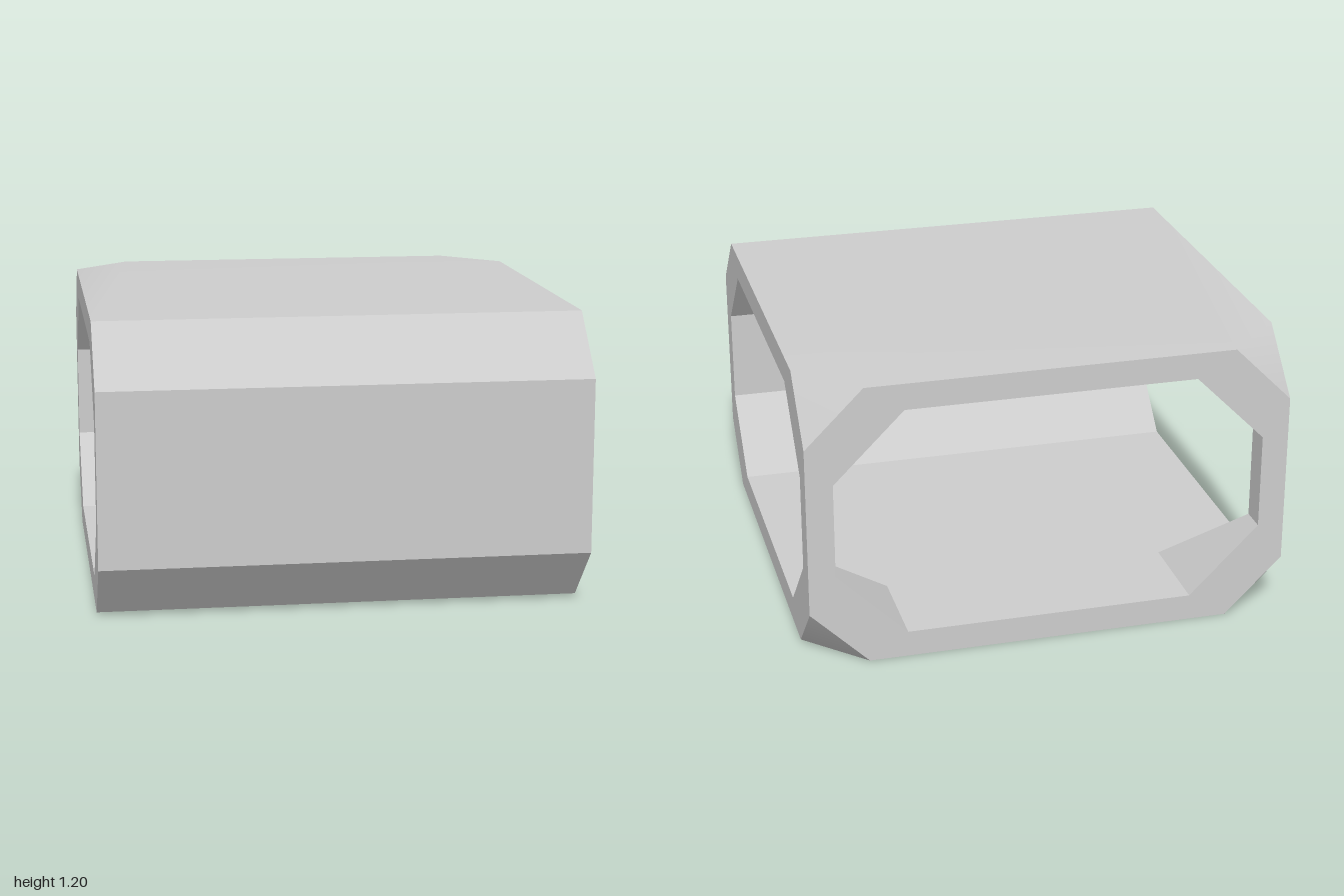
import * as THREE from 'three';
import { mergeVertices } from 'three/addons/utils/BufferGeometryUtils.js';

const H = 1.2; // height; top and bottom halves mirror about H / 2
const material = new THREE.MeshStandardMaterial({ color: 0xcccccc });

// Mirrors of a polygon, with the corner order reversed to keep it facing out
const flipY = (poly) => poly.map(([x, y, z]) => [x, H - y, z]).reverse();
const flipX = (poly) => poly.map(([x, y, z]) => [-x, y, z]).reverse();
const swapXZ = (poly) => poly.map(([x, y, z]) => [-z, y, -x]).reverse();

// Convex polygons to a geometry; smooth shares the corners between them
function polygons(polys, smooth = false) {
  const pos = [];
  for (const p of polys) {
    for (let i = 1; i < p.length - 1; i++) pos.push(...p[0], ...p[i], ...p[i + 1]);
  }
  let geo = new THREE.BufferGeometry();
  geo.setAttribute('position', new THREE.Float32BufferAttribute(pos, 3));
  if (smooth) geo = mergeVertices(geo);
  geo.computeVertexNormals();
  return geo;
}

// Octagon with half width w, half height h and corner cut c
function octagon(w, h, c) {
  return [[w, c - h], [w, h - c], [w - c, h], [c - w, h], [-w, h - c], [-w, c - h], [c - w, -h], [w - c, -h]]
    .map(([x, y]) => new THREE.Vector2(x, y));
}

export function createModel() {
  const group = new THREE.Group();
  const add = (name, geo) => {
    const mesh = new THREE.Mesh(geo, material);
    mesh.name = name;
    group.add(mesh);
  };

  // Roof and underside, blending softly into the cut back corners
  const cut = [[1, H, -0.76], [1, 0.96, -1], [0.76, H, -1]];
  const roof = [
    [[-1, H, 0.76], [1, H, 0.76], [1, H, -0.76], [0.76, H, -1], [-0.76, H, -1], [-1, H, -0.76]],
    cut, flipX(cut),
  ];
  add('roof', polygons(roof, true));
  add('underside', polygons(roof.map(flipY), true));

  // Closed front side, outside and inside
  const outerBevel = [[-1, 0.96, 1], [1, 0.96, 1], [1, H, 0.76], [-1, H, 0.76]];
  const innerBevel = [[1, 0.8, 0.89], [-1, 0.8, 0.89], [-1, 1.09, 0.6], [1, 1.09, 0.6]];
  add('frontWall', polygons([
    [[-1, 0.24, 1], [1, 0.24, 1], [1, 0.96, 1], [-1, 0.96, 1]],
    outerBevel, flipY(outerBevel),
  ]));
  add('frontWallInside', polygons([
    [[1, 0.4, 0.89], [-1, 0.4, 0.89], [-1, 0.8, 0.89], [1, 0.8, 0.89]],
    innerBevel, flipY(innerBevel),
  ]));

  // T-shaped ceiling and floor of the passages
  const ceiling = [
    [[-1, 1.09, 0.6], [-1, 1.09, -0.6], [1, 1.09, -0.6], [1, 1.09, 0.6]],
    [[-0.6, 1.09, -0.6], [-0.6, 1.09, -1], [0.6, 1.09, -1], [0.6, 1.09, -0.6]],
  ];
  add('ceiling', polygons(ceiling));
  add('floor', polygons(ceiling.map(flipY)));

  // Inner faces of the two back corner posts, mitred where passages meet
  const postBevel = [[1, 1.09, -0.6], [0.6, 1.09, -0.6], [0.89, 0.8, -0.89], [1, 0.8, -0.89]];
  const half = [
    postBevel, flipY(postBevel),
    [[0.89, 0.4, -0.89], [1, 0.4, -0.89], [1, 0.8, -0.89], [0.89, 0.8, -0.89]],
  ];
  const post = [...half, ...half.map(swapXZ)];
  add('leftPost', polygons(post));
  add('rightPost', polygons(post.map(flipX)));

  // Flat octagonal frames around the three openings
  const ring = new THREE.Shape(octagon(1, 0.6, 0.24));
  ring.holes.push(new THREE.Path(octagon(0.89, 0.49, 0.29)));
  const openings = { leftFrame: Math.PI / 2, backFrame: Math.PI, rightFrame: -Math.PI / 2 };
  for (const [name, angle] of Object.entries(openings)) {
    add(name, new THREE.ShapeGeometry(ring).translate(0, H / 2, 1).rotateY(angle));
  }
  return group;
}
